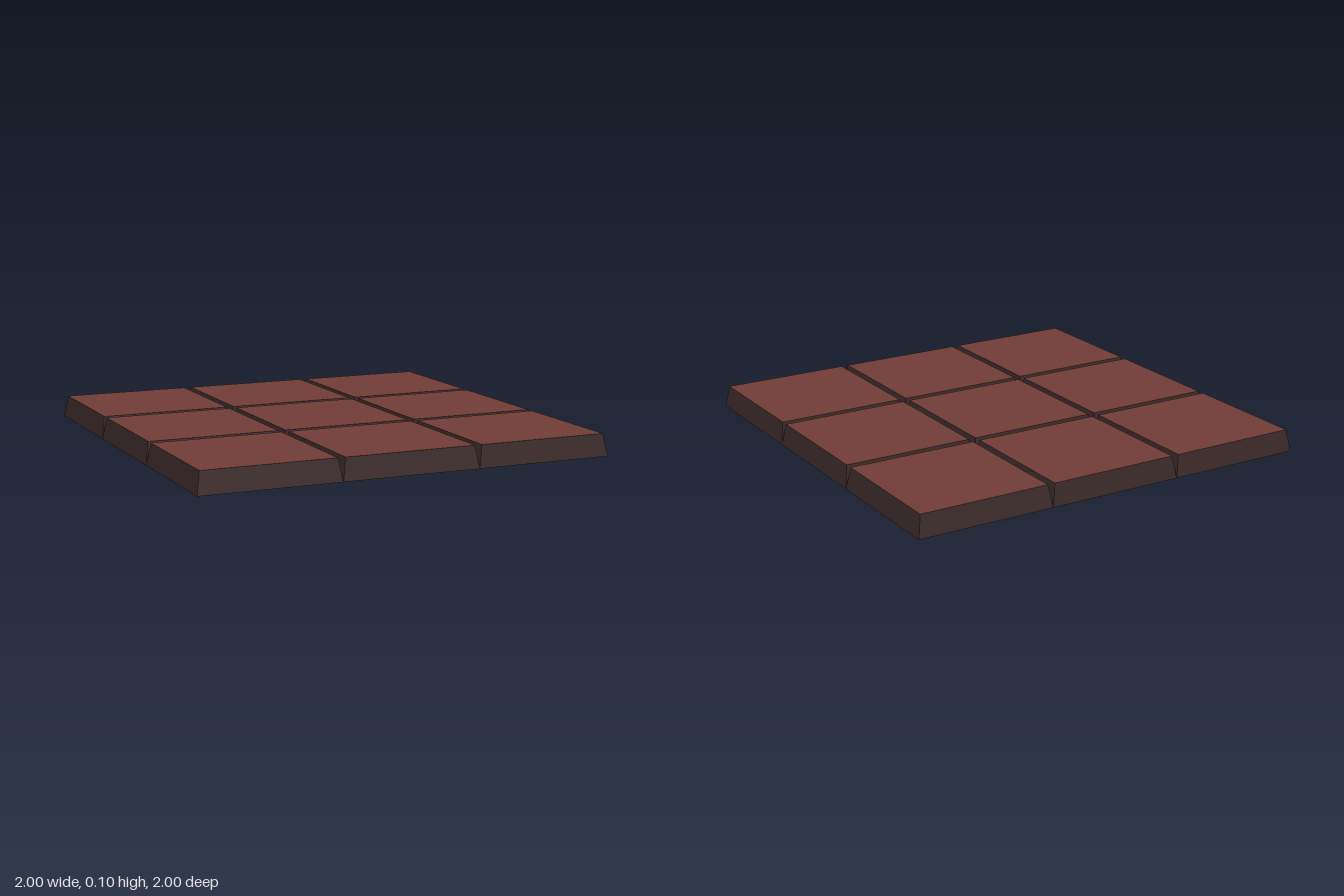
import * as THREE from 'three';

export function createModel() {
  const group = new THREE.Group();
  group.name = 'tiledFloor';

  const topMaterial = new THREE.MeshStandardMaterial({ color: 0x733e38, side: THREE.DoubleSide });
  topMaterial.name = 'terracotta';
  const sideMaterial = new THREE.MeshStandardMaterial({ color: 0x3b2a29, side: THREE.DoubleSide, flatShading: true });
  sideMaterial.name = 'dark brown';

  const pitch = 2 / 3, height = 0.105, topSize = pitch - 0.036;

  // Sloping walls of one tile, open underneath
  const wallGeometry = new THREE.CylinderGeometry(
    topSize * Math.SQRT1_2, pitch * Math.SQRT1_2, height, 4, 1, true);
  wallGeometry.rotateY(Math.PI / 4).translate(0, height / 2, 0);

  // Flat face of one tile
  const faceGeometry = new THREE.PlaneGeometry(topSize, topSize);
  faceGeometry.rotateX(-Math.PI / 2).translate(0, height, 0);

  // Three by three grid
  for (let row = -1; row <= 1; row++) {
    for (let column = -1; column <= 1; column++) {
      const tile = new THREE.Group();
      tile.name = 'tile';
      const walls = new THREE.Mesh(wallGeometry, sideMaterial);
      walls.name = 'tileWalls';
      const face = new THREE.Mesh(faceGeometry, topMaterial);
      face.name = 'tileFace';
      tile.add(walls, face);
      tile.position.set(column * pitch, 0, row * pitch);
      group.add(tile);
    }
  }
  return group;
}
